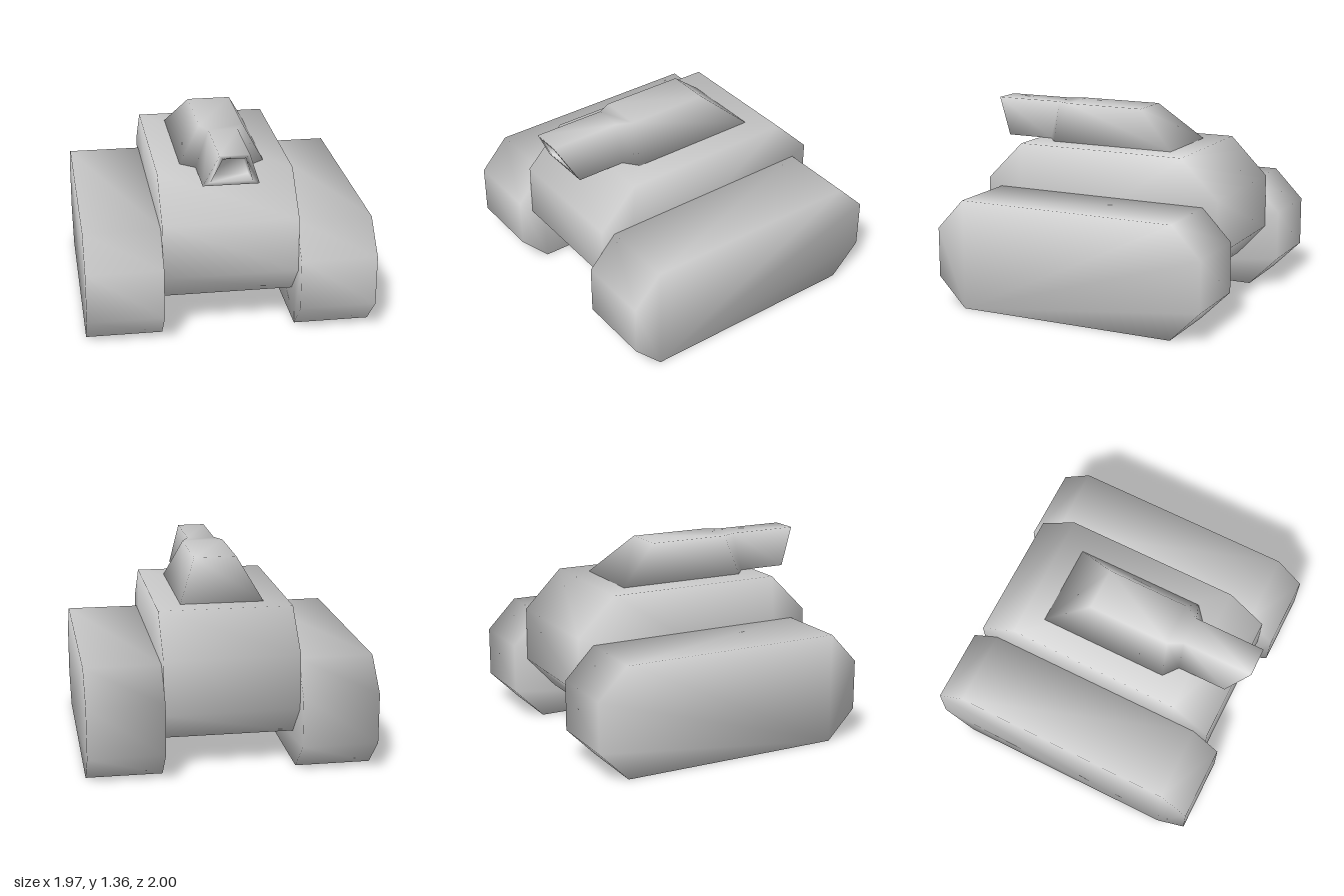
import * as THREE from 'three';

// Skin a row of rings (each counter-clockwise seen from the far end), cap both ends.
// Corners are shared, so the shading flows smoothly over the edges.
function loft(name, rings) {
  const n = rings[0].length;
  const index = [];
  for (let i = 0; i < rings.length - 1; i++) {
    for (let j = 0; j < n; j++) {
      const a = i * n + j, b = i * n + (j + 1) % n;
      index.push(a, b, b + n, a, b + n, a + n);
    }
  }
  const last = (rings.length - 1) * n;
  for (let j = 1; j < n - 1; j++) {
    index.push(0, j + 1, j, last, last + j, last + j + 1);
  }
  const geometry = new THREE.BufferGeometry();
  geometry.setAttribute('position', new THREE.Float32BufferAttribute(rings.flat(2), 3));
  geometry.setIndex(index);
  geometry.computeVertexNormals();
  const mesh = new THREE.Mesh(geometry, new THREE.MeshStandardMaterial({ color: 0xcccccc }));
  mesh.name = name;
  return mesh;
}

// Prism across x from a side profile of [z, y] points
function prism(name, profile, x0, x1) {
  return loft(name, [x0, x1].map((x) => profile.map(([z, y]) => [x, y, z])));
}

// Trapezoid section: half width, height and z of the bottom edge, then of the top edge
function section([wb, yb, zb, wt, yt, zt]) {
  return [[-wb, yb, zb], [wb, yb, zb], [wt, yt, zt], [-wt, yt, zt]];
}

export function createModel() {
  const model = new THREE.Group();

  // Chamfered track pods
  const track = [
    [0.78, 0], [-0.79, 0], [-1, 0.21], [-1, 0.56],
    [-0.79, 0.775], [0.78, 0.775], [0.98, 0.56], [0.98, 0.21],
  ];
  model.add(prism('leftTrack', track, 0.463, 0.987));
  model.add(prism('rightTrack', track, -0.987, -0.463));

  // Hull between the tracks
  const hull = [
    [0.67, 0.22], [-0.69, 0.22], [-0.9, 0.45], [-0.9, 0.83],
    [-0.63, 1.1], [0.61, 1.1], [0.88, 0.83], [0.88, 0.45],
  ];
  model.add(prism('hull', hull, -0.463, 0.463));

  // Turret narrowing into the barrel, with a slanted rim and a hollow muzzle
  const turret = [
    [0.29, 1.1, -0.475, 0.15, 1.357, -0.18],
    [0.29, 1.1, 0.44, 0.15, 1.357, 0.4],
    [0.19, 1.1, 0.52, 0.1, 1.357, 0.5],
    [0.19, 1.1, 0.865, 0.1, 1.357, 1],
    [0.14, 1.13, 0.88, 0.075, 1.328, 0.985],
    [0.13, 1.135, 0.76, 0.07, 1.323, 0.86],
  ];
  model.add(loft('turretAndBarrel', turret.map(section)));

  return model;
}
